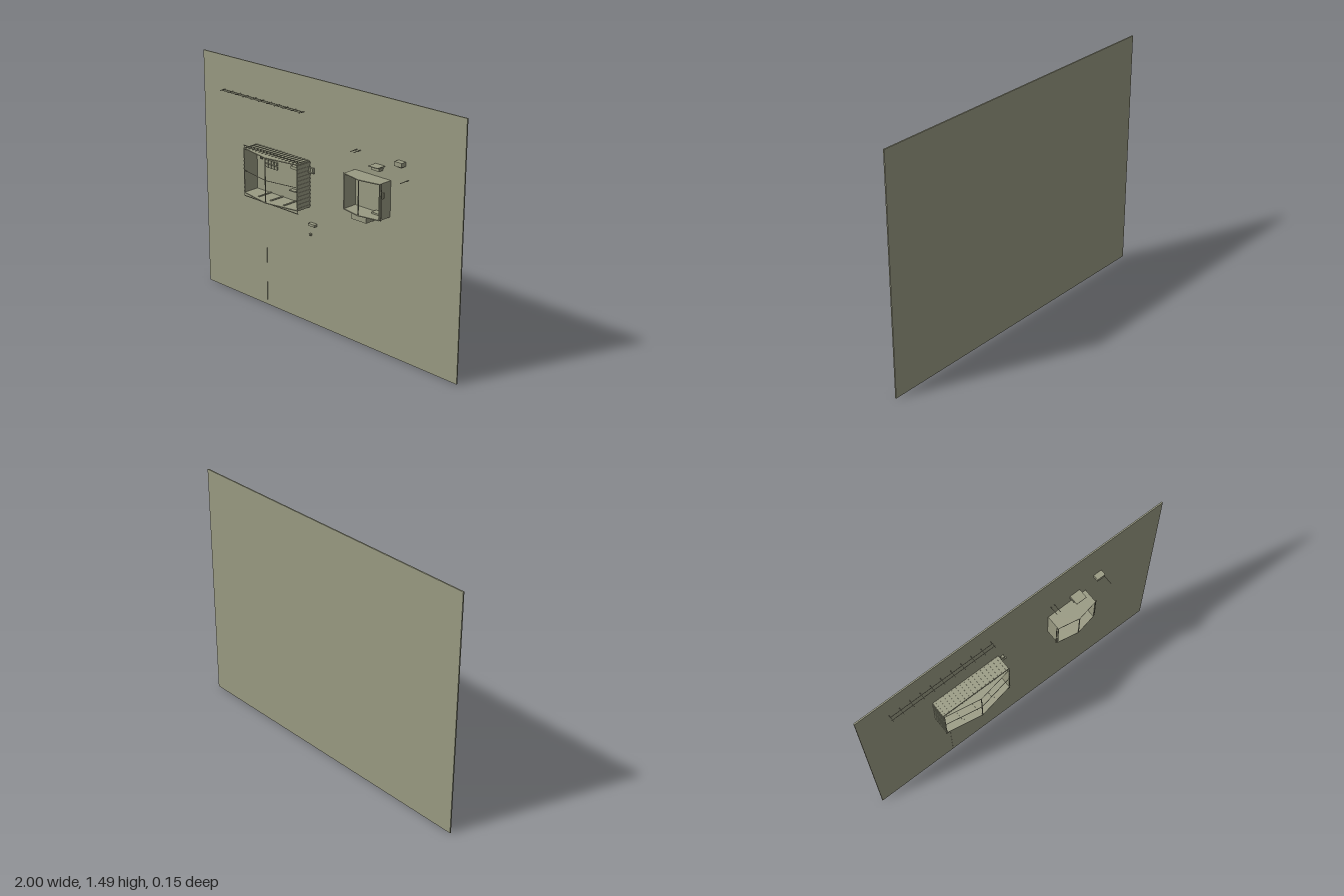
import * as THREE from 'three';

const wallZ = -0.069; // front surface of the wall

export function createModel() {
  const root = new THREE.Group();
  const plaster = new THREE.MeshStandardMaterial({ color: 0x999a82 });
  plaster.name = 'olive grey plaster';

  // Box given by its minimum and maximum corners
  function box(parent, name, x0, x1, y0, y1, z0, z1) {
    const m = new THREE.Mesh(new THREE.BoxGeometry(x1 - x0, y1 - y0, z1 - z0), plaster);
    m.position.set((x0 + x1) / 2, (y0 + y1) / 2, (z0 + z1) / 2);
    m.name = name;
    parent.add(m);
    return m;
  }

  // Slim bar between two points
  function bar(parent, name, a, b, t = 0.003) {
    const from = new THREE.Vector3(...a), to = new THREE.Vector3(...b);
    const m = new THREE.Mesh(new THREE.BoxGeometry(t, t, from.distanceTo(to)), plaster);
    m.position.copy(from).add(to).multiplyScalar(0.5);
    m.lookAt(to);
    m.name = name;
    parent.add(m);
  }

  // Flat plate in plan with a pointed front edge
  function pointedPlate(parent, name, x0, x1, y, t, zSide, zPeak) {
    const s = new THREE.Shape();
    s.moveTo(x0, -wallZ);
    s.lineTo(x0, -zSide);
    s.lineTo((x0 + x1) / 2, -zPeak);
    s.lineTo(x1, -zSide);
    s.lineTo(x1, -wallZ);
    const g = new THREE.ExtrudeGeometry(s, { depth: t, bevelEnabled: false });
    g.rotateX(-Math.PI / 2);
    const m = new THREE.Mesh(g, plaster);
    m.position.y = y;
    m.name = name;
    parent.add(m);
  }

  // Open-fronted bay with cheeks, pointed roof and floor, and a centre post
  function bay(name, x0, x1, y0, y1, zSide, zPeak, boards) {
    const g = new THREE.Group();
    g.name = name;
    root.add(g);
    const mid = (x0 + x1) / 2, t = 0.005;
    pointedPlate(g, 'roof', x0, x1, y1 - t, t, zSide, zPeak);
    pointedPlate(g, 'floor', x0, x1, y0, t, zSide, zPeak);
    box(g, 'rightCheek', x0, x0 + t, y0 + t, y1 - t, wallZ, zSide);
    box(g, 'leftCheek', x1 - t, x1, y0 + t, y1 - t, wallZ, zSide);
    box(g, 'centrePost', mid - 0.002, mid + 0.002, y0, y1, zPeak - 0.004, zPeak + 0.001);
    for (let i = 0; i < boards; i++) {
      const y = y0 + (y1 - y0) * (i + 0.5) / boards;
      box(g, 'rightSiding', x0 - 0.002, x0, y - 0.005, y + 0.005, wallZ, zSide);
      box(g, 'leftSiding', x1, x1 + 0.002, y - 0.005, y + 0.005, wallZ, zSide);
    }
    return g;
  }

  box(root, 'wall', -1, 1, 0, 1.488, -0.077, wallZ);

  // Wide bay
  const wide = bay('wideBay', -0.55, -0.107, 0.725, 1.003, 0.033, 0.073, 12);
  box(wide, 'topTrim', -0.553, -0.105, 1.016, 1.02, 0.028, 0.032);
  box(wide, 'bottomTrim', -0.553, -0.105, 0.706, 0.71, 0.028, 0.032);
  for (const x of [-0.55, -0.109]) {
    box(wide, 'trimStay', x, x + 0.002, 1.003, 1.018, 0.029, 0.031);
    box(wide, 'trimStay', x, x + 0.002, 0.708, 0.725, 0.029, 0.031);
  }
  for (const x of [-0.547, -0.11])
    bar(wide, 'middleRail', [x, 0.865, 0.031], [-0.3285, 0.865, 0.071]);
  for (let i = 0; i < 16; i++) {
    const x = -0.535 + i * 0.0275;
    box(wide, 'roofBatten', x - 0.002, x + 0.002, 1.003, 1.006, wallZ, 0.03);
  }
  for (const x of [-0.43, -0.33, -0.22])
    box(wide, 'floorBatten', x - 0.006, x + 0.006, 0.73, 0.734, wallZ, 0.03);

  // Fittings inside the wide bay
  for (let r = 0; r < 2; r++)
    for (let c = 0; c < 4; c++) {
      const x = -0.461 + c * 0.025, y = 0.885 + r * 0.025;
      box(wide, 'smallDrawer', x, x + 0.018, y, y + 0.02, wallZ, -0.058);
    }
  for (const x of [-0.492, -0.48])
    box(wide, 'hangingStrip', x - 0.003, x + 0.003, 0.93, 0.99, -0.05, -0.045);
  for (let i = 0; i < 4; i++)
    box(wide, 'hangingBlock', -0.48 + i * 0.036, -0.455 + i * 0.036, 0.975, 0.988, -0.05, -0.035);
  box(wide, 'upperShelf', -0.24, -0.175, 0.93, 0.947, wallZ, -0.045);
  box(wide, 'lowerShelf', -0.25, -0.2, 0.795, 0.801, wallZ, -0.04);
  box(wide, 'lowerShelf', -0.18, -0.14, 0.795, 0.81, wallZ, -0.05);

  // Bracket cluster beside the wide bay
  for (let i = 0; i < 3; i++) {
    const x = -0.132 + i * 0.022;
    box(root, 'sideBlock', x, x + 0.015, 0.935, 0.967, wallZ, -0.055);
  }
  box(root, 'sideArm', -0.16, -0.062, 0.938, 0.944, -0.058, -0.05);

  // Narrow bay
  const narrow = bay('narrowBay', 0.24, 0.502, 0.828, 1.037, 0.02, 0.045, 0);
  for (const x of [0.234, 0.509])
    box(narrow, 'sideTrim', x - 0.0015, x + 0.0015, 0.825, 1.04, 0.012, 0.016);
  box(narrow, 'sidePlate', 0.502, 0.508, 0.95, 0.985, -0.012, 0);
  box(narrow, 'innerSill', 0.4, 0.46, 0.833, 0.842, wallZ, -0.03);

  // Box below and bracket above the narrow bay
  box(root, 'lowerBox', 0.28, 0.39, 0.778, 0.828, wallZ, 0);
  box(root, 'upperBracket', 0.39, 0.446, 1.08, 1.095, wallZ, -0.035);
  box(root, 'upperShelf', 0.39, 0.458, 1.104, 1.108, wallZ, -0.01);

  // Small wall lamp and rods
  box(root, 'wallLamp', 0.552, 0.605, 1.14, 1.165, wallZ, -0.035);
  box(root, 'lampBase', 0.565, 0.592, 1.133, 1.14, wallZ, -0.045);
  for (const [x, y, z] of [[0.255, 1.155, -0.015], [0.28, 1.155, -0.015], [0.627, 1.068, 0]])
    bar(root, 'wallRod', [x, y, wallZ], [x, y, z]);

  // Small ledges under the wide bay
  box(root, 'ledge', -0.1, -0.05, 0.62, 0.635, wallZ, -0.045);
  box(root, 'knob', -0.104, -0.092, 0.554, 0.566, wallZ, -0.055);

  // Long horizontal ladder rack
  const rack = new THREE.Group();
  rack.name = 'ladderRack';
  root.add(rack);
  for (const z of [-0.055, -0.037])
    bar(rack, 'rail', [-0.815, 1.283, z], [-0.145, 1.283, z]);
  for (let i = 0; i < 11; i++) {
    const x = -0.81 + i * 0.066;
    bar(rack, 'rung', [x, 1.283, wallZ], [x, 1.283, -0.025]);
  }

  // Shallow wall seam
  box(root, 'wallSeam', -0.472, -0.469, 0, 0.37, wallZ, wallZ + 0.002);
  return root;
}
